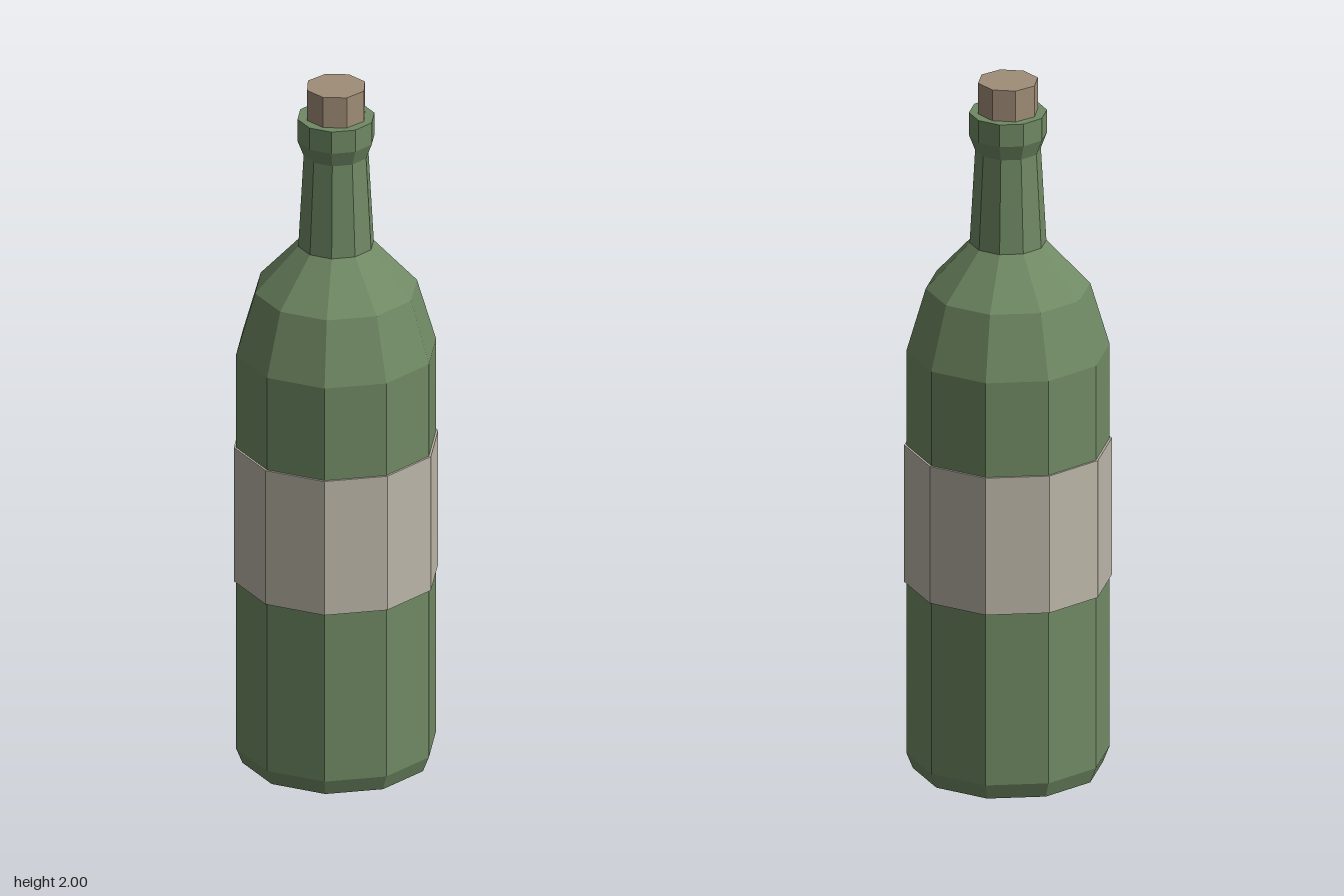
import * as THREE from 'three';

const flat = (name, color) => new THREE.MeshStandardMaterial({ name, color, flatShading: true });

export function createModel() {
  const glass = flat('green glass', 0x708a64);
  const paper = flat('label paper', 0xbcb6a8);
  const corkMat = flat('cork', 0xa08d77);

  const bottle = new THREE.Group();
  bottle.name = 'bottle';

  // Ten-sided part turned from [radius, height] points, with corners on the x axis
  const turn = (name, profile, material) => {
    const points = profile.map(([r, y]) => new THREE.Vector2(r, y));
    const mesh = new THREE.Mesh(new THREE.LatheGeometry(points, 10, Math.PI / 2), material);
    mesh.name = name;
    bottle.add(mesh);
  };

  // Base, straight wall and shoulder
  turn('body', [[0, 0], [0.26, 0], [0.278, 0.045], [0.278, 1.22], [0.225, 1.4], [0.105, 1.53]], glass);

  // Tapered neck with a thicker lip, closed on top
  turn('neck', [[0.105, 1.53], [0.09, 1.8], [0.107, 1.845], [0.107, 1.91], [0, 1.91]], glass);

  // Paper band around the body
  turn('label', [[0.278, 0.545], [0.284, 0.545], [0.284, 0.945], [0.278, 0.945]], paper);

  // Eight-sided stopper
  const cork = new THREE.Mesh(new THREE.CylinderGeometry(0.084, 0.084, 0.12, 8), corkMat);
  cork.name = 'cork';
  cork.position.y = 1.94;
  bottle.add(cork);

  return bottle;
}
